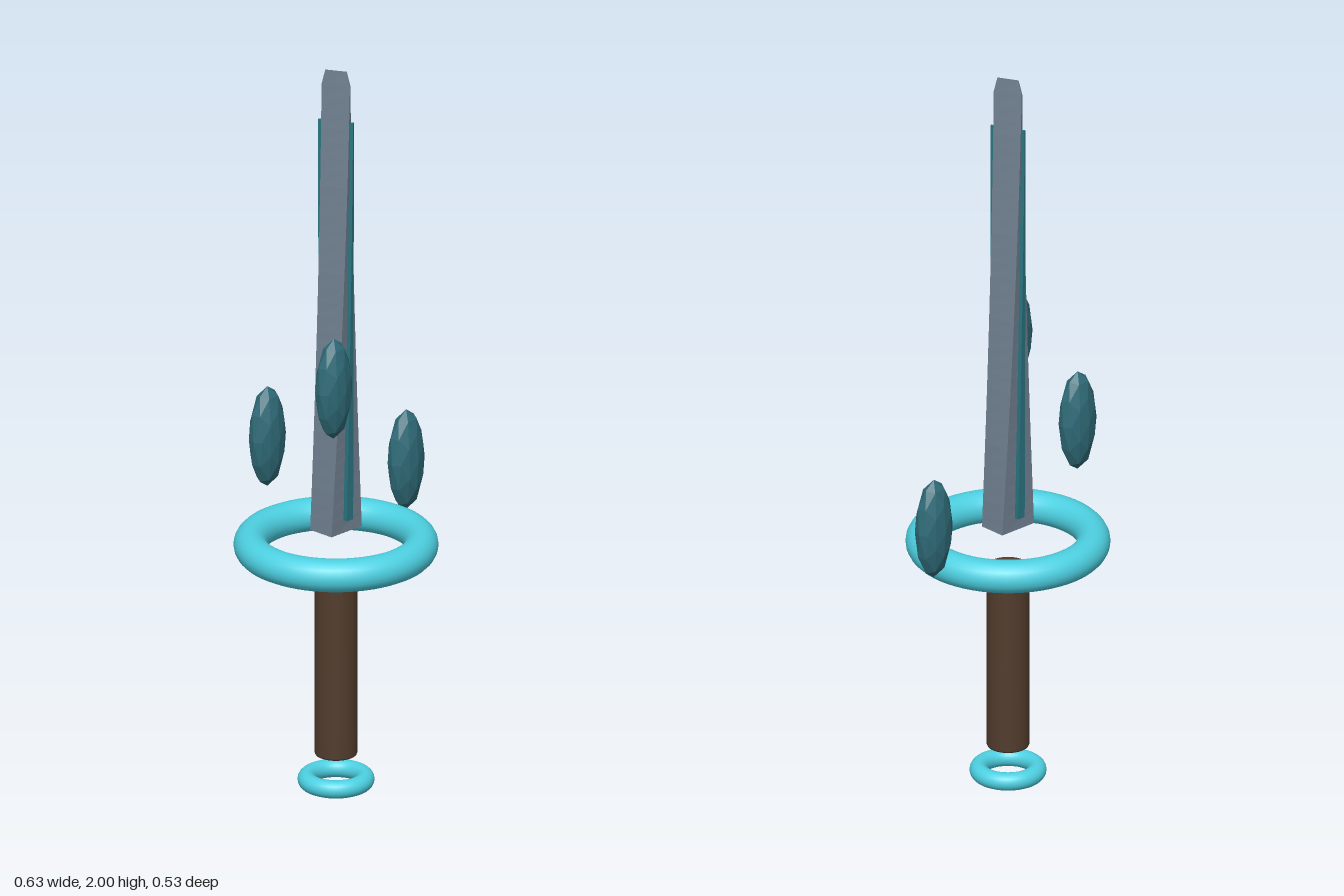
import * as THREE from 'three';

const mat = (color, flatShading = false) => new THREE.MeshStandardMaterial({ color, flatShading });
const glow = mat(0x4dd0e1);
const steel = mat(0x708090, true);
const inlay = mat(0x2a7480, true);
const crystal = mat(0x2f6b78, true);
const leather = mat(0x523c2d);

const AXIS_X = -0.047; // the sword stands slightly off centre

// Twist about the sword's axis, in radians, at height y
const twistAt = (y) => THREE.MathUtils.degToRad(-7 + 28 * (y - 0.725) / 1.275);

// Box from y0 to y1 with half sizes given per height, twisted along its length
function twistedBar(y0, y1, halfX, halfZ, rows) {
  const geo = new THREE.BoxGeometry(2, 1, 2, 1, rows, 1);
  const p = geo.attributes.position;
  for (let i = 0; i < p.count; i++) {
    const t = p.getY(i) + 0.5;
    const y = y0 + (y1 - y0) * t;
    const x = p.getX(i) * halfX(t), z = p.getZ(i) * halfZ(t);
    const a = twistAt(y);
    p.setXYZ(i, x * Math.cos(a) + z * Math.sin(a), y, z * Math.cos(a) - x * Math.sin(a));
  }
  geo.computeVertexNormals();
  return geo;
}

export function createModel() {
  const model = new THREE.Group();
  const sword = new THREE.Group();
  sword.name = 'sword';
  sword.position.x = AXIS_X;
  model.add(sword);

  const add = (parent, name, geo, material, x = 0, y = 0, z = 0) => {
    const mesh = new THREE.Mesh(geo, material);
    mesh.name = name;
    mesh.position.set(x, y, z);
    parent.add(mesh);
    return mesh;
  };

  // Blade: a twisted wedge ending in a short chisel edge
  add(sword, 'blade', twistedBar(0.725, 2,
    (t) => 0.056 * (1 - t) + 0.0005,
    (t) => (t > 0.975 ? 0.0385 - 0.0095 * (t - 0.975) / 0.025 : 0.0385), 32), steel);

  // Coloured inlay standing proud of the front and back faces
  add(sword, 'bladeInlay', twistedBar(0.76, 1.86,
    (t) => 0.012 - 0.009 * t,
    (t) => 0.05 - 0.002 * t, 28), inlay);

  // Floating guard and pommel rings
  const ring = (name, radius, tube, y) =>
    add(sword, name, new THREE.TorusGeometry(radius, tube, 20, 64).rotateX(Math.PI / 2), glow, 0, y);
  ring('guardRing', 0.222, 0.044, 0.68);
  ring('pommelRing', 0.076, 0.024, 0.026);

  // Grip with softened rims
  const half = [[0.05, 0.095], [0.054, 0.097], [0.056, 0.102]];
  const rim = (pts) => pts.map(([r, y]) => new THREE.Vector2(r, y));
  const top = half.map(([r, y]) => [r, 0.705 - y]).reverse();
  const profile = rim([[0, 0.095], ...half, ...top, [0, 0.61]]);
  add(sword, 'grip', new THREE.LatheGeometry(profile, 32), leather);

  // Three floating shards around the blade, at rising heights
  const shard = new THREE.IcosahedronGeometry(1, 1).scale(0.06, 0.139, 0.041);
  [[0.254, 0.822, 0], [-0.198, 1.003, -0.109], [-0.198, 1.186, 0.107]].forEach((p, i) =>
    add(model, `shard${i + 1}`, shard, crystal, ...p));

  return model;
}
